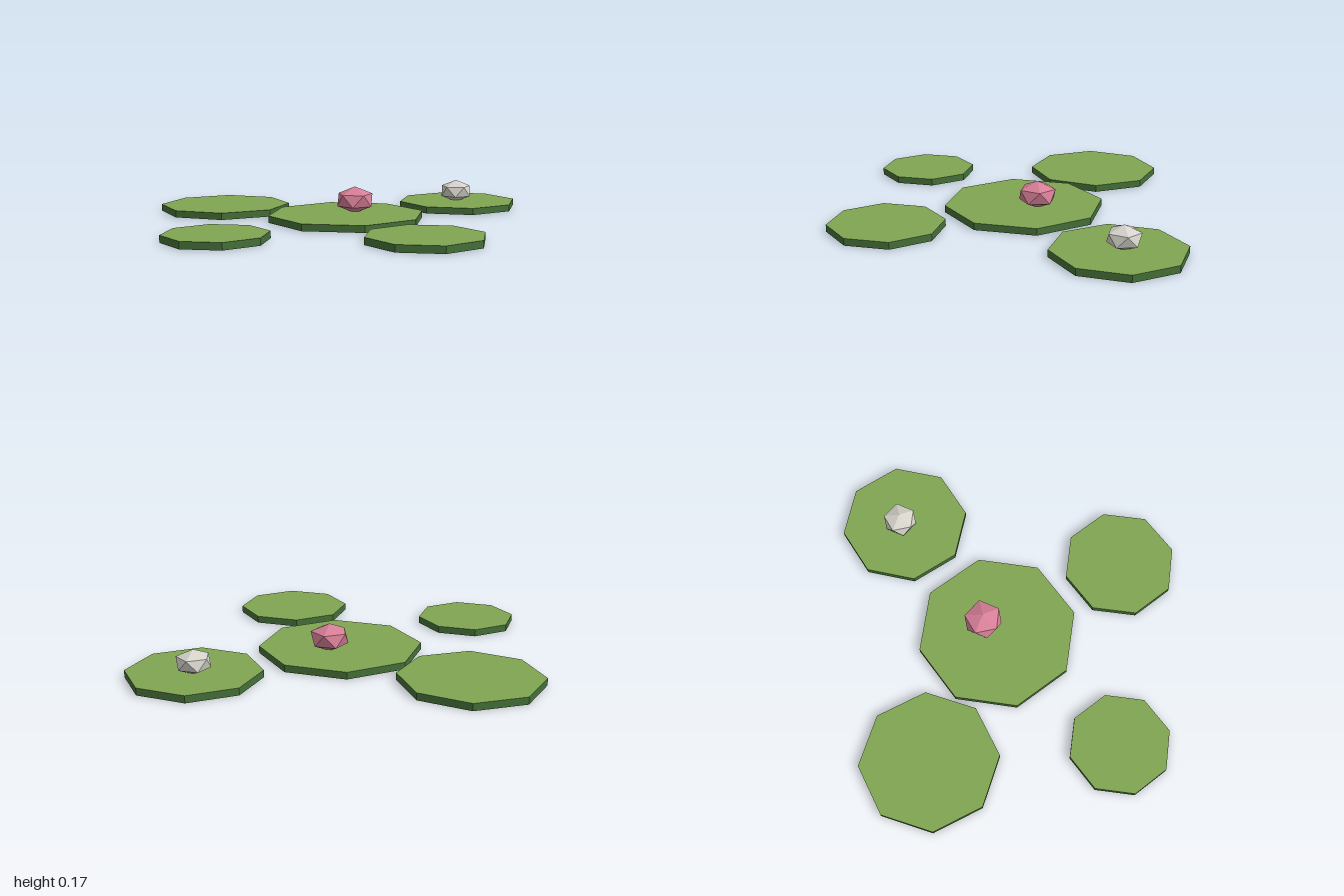
import * as THREE from 'three';

const PAD_HEIGHT = 0.036;

function material(name, color) {
  const m = new THREE.MeshStandardMaterial({ color, flatShading: true });
  m.name = name;
  return m;
}

export function createModel() {
  const group = new THREE.Group();
  group.name = 'lilyPads';

  const leafTop = material('leafGreen', 0x7fa552);
  const leafSide = material('darkGreen', 0x446f38);
  const pink = material('pink', 0xd67f97);
  const white = material('offWhite', 0xd6d3cb);

  // Eight-sided floating pads: x, z, radius, turn
  const pads = [
    ['centrePad', -0.035, -0.09, 0.41, 0.033],
    ['backRightPad', -0.625, -0.56, 0.35, -0.137],
    ['backLeftPad', 0.67, -0.445, 0.329, -0.033],
    ['frontRightPad', -0.743, 0.38, 0.258, 0.045],
    ['frontLeftPad', 0.2, 0.617, 0.292, 0.046],
  ];
  for (const [name, x, z, radius, turn] of pads) {
    const geometry = new THREE.CylinderGeometry(radius, radius, PAD_HEIGHT, 8);
    // Material order: side, top, bottom
    const pad = new THREE.Mesh(geometry, [leafSide, leafTop, leafSide]);
    pad.name = name;
    pad.position.set(x, PAD_HEIGHT / 2, z);
    pad.rotation.y = turn;
    group.add(pad);
  }

  // Flower buds: flattened icosahedra standing on a corner, sunk into the pads
  const buds = [
    ['pinkFlower', pink, 0.022, 0.096, -0.152, 0.105],
    ['whiteFlower', white, 0.668, 0.086, -0.467, 0.092],
  ];
  const cornerTilt = Math.atan(2 / (1 + Math.sqrt(5)));
  for (const [name, mat, x, y, z, radius] of buds) {
    const geometry = new THREE.IcosahedronGeometry(radius, 0);
    geometry.rotateZ(-cornerTilt);
    geometry.scale(1, 0.67, 1);
    const bud = new THREE.Mesh(geometry, mat);
    bud.name = name;
    bud.position.set(x, y, z);
    group.add(bud);
  }

  return group;
}
